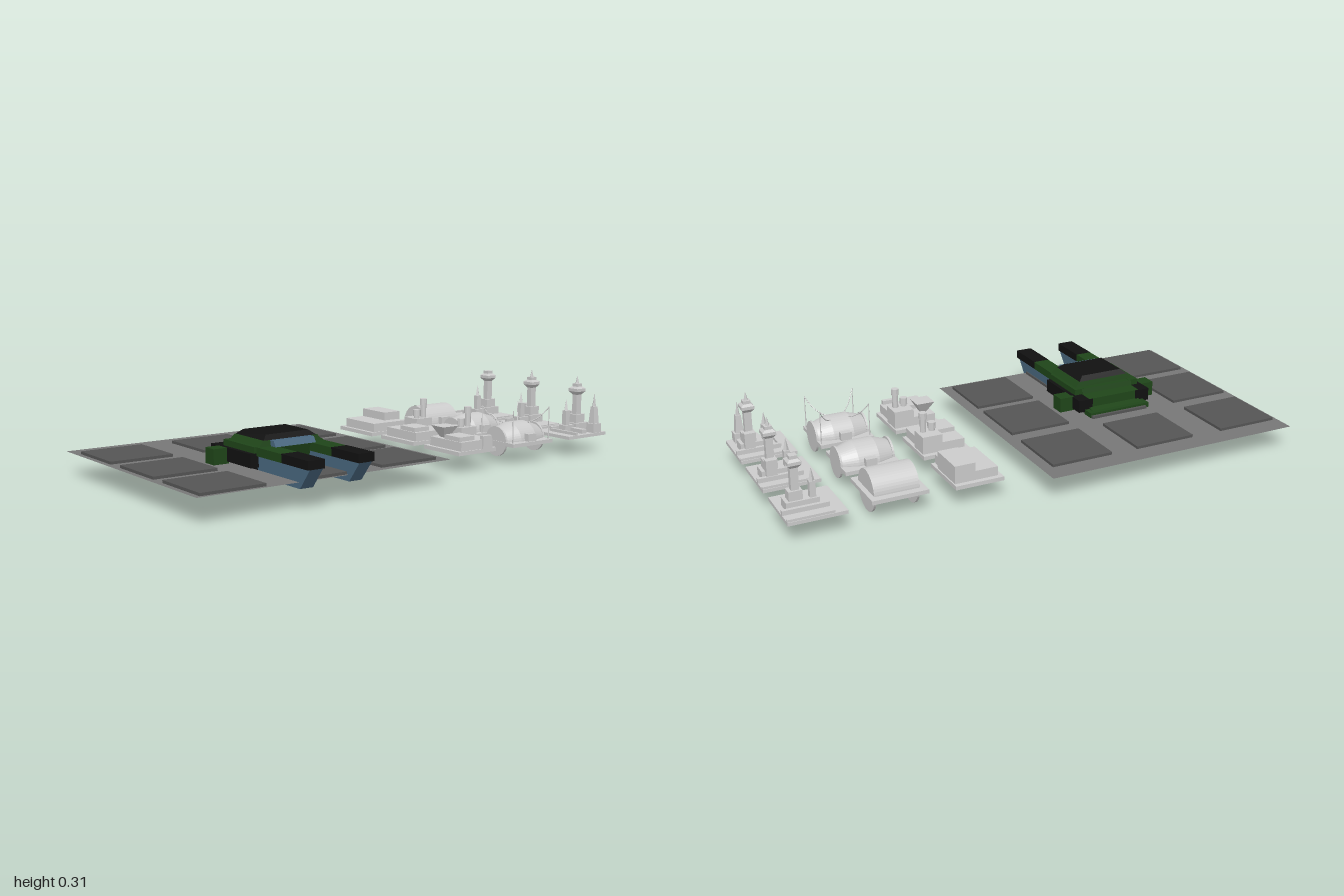
import * as THREE from 'three';

const mat = (color) => new THREE.MeshStandardMaterial({ color, flatShading: true, side: THREE.DoubleSide });
const GREY = mat(0xcccccc), GREEN = mat(0x1f4519), BLACK = mat(0x111111), BLUE = mat(0x48677f);
const SLAB = mat(0x777777), PAD = mat(0x555555);

function add(parent, name, geo, material, x = 0, y = 0, z = 0) {
  const m = new THREE.Mesh(geo, material);
  m.name = name;
  m.position.set(x, y, z);
  parent.add(m);
  return m;
}

// box from its limits on each axis
function box(parent, name, material, x0, x1, y0, y1, z0, z1) {
  return add(parent, name, new THREE.BoxGeometry(x1 - x0, y1 - y0, z1 - z0), material,
    (x0 + x1) / 2, (y0 + y1) / 2, (z0 + z1) / 2);
}

// side profile in x and y, extruded from z0 to z1
function slice(parent, name, material, points, z0, z1) {
  const shape = new THREE.Shape(points.map(([x, y]) => new THREE.Vector2(x, y)));
  return add(parent, name, new THREE.ExtrudeGeometry(shape, { depth: z1 - z0, bevelEnabled: false }), material, 0, 0, z0);
}

// block with a smaller top: half sizes at the bottom and top
function frustum(parent, name, material, x, z, y0, y1, bx, bz, tx, tz) {
  const geo = new THREE.BoxGeometry(2, y1 - y0, 2), p = geo.attributes.position;
  for (let i = 0; i < p.count; i++) {
    const top = p.getY(i) > 0;
    p.setX(i, p.getX(i) * (top ? tx : bx));
    p.setZ(i, p.getZ(i) * (top ? tz : bz));
  }
  geo.computeVertexNormals();
  return add(parent, name, geo, material, x, (y0 + y1) / 2, z);
}

function rod(parent, name, x, z, y0, y1, r0, r1 = r0, sides = 12) {
  return add(parent, name, new THREE.CylinderGeometry(r1, r0, y1 - y0, sides), GREY, x, (y0 + y1) / 2, z);
}

function group(parent, name) {
  const g = new THREE.Group();
  g.name = name;
  parent.add(g);
  return g;
}

// landing field with its raised pads
function buildField(root) {
  const g = group(root, 'landingField');
  const ground = add(g, 'fieldSheet', new THREE.PlaneGeometry(0.99, 1.055), SLAB, -0.035, 0.0925, 0.4725);
  ground.rotation.x = -Math.PI / 2;
  [[-0.01, 0.18], [0.35, 0.2], [0.73, 0.195]].forEach(([z, right]) => {
    for (const x of [-0.445, -0.12, right]) box(g, 'pad', PAD, x, x + 0.25, 0.09, 0.103, z, z + 0.25);
  });
}

// twin-pronged ship pointing along +x
function buildShip(root) {
  const g = group(root, 'ship');
  g.position.z = 0.482;
  slice(g, 'body', GREEN, [[-0.105, 0.085], [-0.105, 0.108], [-0.06, 0.118], [-0.06, 0.153], [-0.005, 0.155],
    [0.0, 0.175], [0.24, 0.175], [0.21, 0.09]], -0.115, 0.115);
  box(g, 'nose', GREEN, -0.108, -0.06, 0.082, 0.112, -0.135, 0.135);
  box(g, 'belly', BLACK, -0.06, 0.2, 0.093, 0.104, -0.13, 0.13);
  frustum(g, 'cabin', GREEN, 0.12, 0, 0.174, 0.196, 0.1, 0.135, 0.095, 0.115);
  frustum(g, 'cabinRoof', BLACK, 0.12, 0, 0.195, 0.213, 0.095, 0.112, 0.075, 0.09);
  slice(g, 'windscreen', BLUE, [[0.2, 0.175], [0.25, 0.175], [0.238, 0.196], [0.2, 0.196]], -0.085, 0.085);
  slice(g, 'keel', GREY, [[0.03, 0.09], [0.03, 0.075], [0.33, 0.075], [0.45, 0.09]], -0.07, -0.06);
  for (const s of [-1, 1]) {
    const span = (a, b) => (s > 0 ? [a, b] : [-b, -a]);
    box(g, 'sideArmour', BLACK, -0.062, 0.207, 0.103, 0.153, ...span(0.1, 0.162));
    box(g, 'sideTrim', GREEN, 0.0, 0.207, 0.152, 0.176, ...span(0.105, 0.146));
    box(g, 'sidePod', GREEN, -0.008, 0.05, 0.095, 0.153, ...span(0.155, 0.217));
    box(g, 'prongBase', GREEN, 0.02, 0.365, 0.144, 0.175, ...span(0.07, 0.137));
    box(g, 'prongTip', BLACK, 0.365, 0.525, 0.144, 0.176, ...span(0.07, 0.137));
    slice(g, 'prongKeel', BLUE, [[0.03, 0.144], [0.03, 0.042], [0.33, 0.07], [0.463, 0.07], [0.523, 0.144]], ...span(0.075, 0.128));
  }
}

// factory blocks; level 0 to 2 adds chimneys, then a hopper
function buildFactory(root, level, x0, x1) {
  const g = group(root, 'factory');
  box(g, 'basePlate', GREY, x0, x1, 0.07, 0.085, -0.385, -0.195);
  box(g, 'lowHall', GREY, x0 + 0.02, x1 - 0.005, 0.085, 0.12, -0.37, -0.21);
  const split = x0 + (level ? 0.1 : 0.17);
  box(g, 'tallHall', GREY, x0 + 0.02, split, 0.085, 0.153, -0.38, -0.3);
  if (!level) return;
  box(g, 'sideHall', GREY, split, x1 - 0.02, 0.085, 0.137, -0.29, -0.215);
  [[-0.355, 0.23], [-0.32, 0.187]].forEach(([z, top]) => {
    rod(g, 'chimney', x0 + 0.075, z, 0.12, top, 0.012);
    rod(g, 'chimneyRim', x0 + 0.075, z, top - 0.025, top, 0.015);
  });
  if (level < 2) return;
  frustum(g, 'hopper', GREY, x0 + 0.065, -0.245, 0.12, 0.165, 0.012, 0.012, 0.037, 0.037);
  box(g, 'sideTank', GREY, x1 - 0.015, x1 + 0.003, 0.085, 0.135, -0.36, -0.315);
}

// arched halls; level 1 and 2 bulge, level 2 carries wires
function buildHall(root, level, x0, x1) {
  const g = group(root, 'archedHall');
  const x = (x0 + x1) / 2, z = -0.587, y = 0.08;
  box(g, 'basePlate', GREY, x0, x1, 0.07, 0.085, -0.692, -0.478);
  const half = level ? 0.102 : 0.082, r = level ? 0.06 : 0.079;
  const profile = level ? [[0.058, -half], [0.08, -0.04], [0.08, 0.04], [0.058, half]] : [[r, -half], [r, half]];
  const shell = new THREE.LatheGeometry(profile.map(([a, b]) => new THREE.Vector2(a, b)), 24, -Math.PI / 2, Math.PI);
  shell.rotateX(Math.PI / 2);
  // keep the upper half of the arch
  shell.computeBoundingBox();
  if (shell.boundingBox.max.y < 0.01) shell.rotateZ(Math.PI);
  const roof = add(g, 'archedRoof', shell, GREY, x, y, z);
  if (level) roof.scale.y = 0.92;
  for (const s of [-1, 1]) {
    const disc = add(g, 'endDisc', new THREE.CylinderGeometry(r, r, 0.008, 28), GREY, x, level ? 0.083 : 0.079, z + s * half);
    disc.rotation.x = Math.PI / 2;
    if (level || s > 0) {
      const px = x + s * 0.088;
      box(g, 'sidePorch', GREY, px - 0.012, px + 0.012, 0.085, 0.115, z - 0.022, z + 0.022);
    }
  }
  if (level < 2) return;
  for (const sx of [-1, 1]) for (const sz of [-1, 1]) {
    rod(g, 'mast', x + sx * 0.09, z + sz * 0.098, 0.085, 0.215, 0.0025, 0.0015, 6);
    const wire = new THREE.QuadraticBezierCurve3(
      new THREE.Vector3(x + sx * 0.09, 0.213, z + sz * 0.098),
      new THREE.Vector3(x + sx * 0.06, 0.155, z + sz * 0.07),
      new THREE.Vector3(x + sx * 0.025, 0.148, z + sz * 0.035));
    add(g, 'wire', new THREE.TubeGeometry(wire, 10, 0.002, 5), GREY);
  }
}

// control towers; level 1 adds a spire, level 2 adds a second tower
function buildTower(root, level, x0, x1) {
  const g = group(root, 'controlTower');
  const x = x0 + 0.107, z = -0.938;
  box(g, 'basePlate', GREY, x0, x1, 0.07, 0.083, -1, -0.785);
  box(g, 'edgeWall', GREY, x0 + 0.003, x0 + 0.012, 0.083, 0.092, -1, -0.83);
  box(g, 'longWall', GREY, x0 + 0.058, x0 + 0.072, 0.083, 0.1, -1, -0.83);
  box(g, 'footBlock', GREY, x - 0.028, x + 0.03, 0.083, 0.115, -0.978, -0.905);
  box(g, 'footStep', GREY, x - 0.02, x + 0.02, 0.115, 0.15, -0.965, -0.915);
  box(g, 'shaft', GREY, x - 0.012, x + 0.012, 0.115, 0.235, z - 0.014, z + 0.014);
  frustum(g, 'headLower', GREY, x, z, 0.232, 0.246, 0.012, 0.014, 0.025, 0.024);
  box(g, 'headBand', GREY, x - 0.025, x + 0.025, 0.246, 0.258, z - 0.024, z + 0.024);
  frustum(g, 'headUpper', GREY, x, z, 0.258, 0.266, 0.025, 0.024, 0.015, 0.015);
  box(g, 'headCap', GREY, x - 0.014, x + 0.014, 0.264, 0.278, z - 0.014, z + 0.014);
  // small tower in front
  box(g, 'annex', GREY, x - 0.018, x + 0.018, 0.083, 0.11, -0.91, -0.855);
  box(g, 'annexTower', GREY, x - 0.011, x + 0.011, 0.11, 0.17, -0.887, -0.865);
  rod(g, 'annexSpire', x, -0.876, 0.17, 0.215, 0.011, 0.001, 4);
  if (level) rod(g, 'spire', x, z, 0.278, 0.308, 0.008, 0.001, 6);
  if (level) box(g, 'sideBlock', GREY, x - 0.045, x - 0.02, 0.083, 0.16, -0.965, -0.925);
  if (level < 2) return;
  box(g, 'farBlock', GREY, x + 0.065, x + 0.105, 0.083, 0.12, -0.975, -0.93);
  frustum(g, 'farTower', GREY, x + 0.085, -0.952, 0.12, 0.19, 0.015, 0.015, 0.01, 0.01);
  rod(g, 'farSpire', x + 0.085, -0.952, 0.19, 0.24, 0.008, 0.001, 6);
  box(g, 'pipe', GREY, x + 0.025, x + 0.09, 0.083, 0.1, -0.905, -0.88);
  box(g, 'frontWall', GREY, x - 0.035, x1, 0.083, 0.095, -0.835, -0.825);
}

export function createModel() {
  const root = new THREE.Group();
  root.name = 'outpost';
  buildField(root);
  buildShip(root);
  [[-0.42, -0.2], [-0.137, 0.073], [0.137, 0.345]].forEach(([a, b], i) => buildFactory(root, i, a, b));
  [[-0.397, -0.182], [-0.135, 0.08], [0.132, 0.345]].forEach(([a, b], i) => buildHall(root, i, a, b));
  [[-0.417, -0.2], [-0.137, 0.08], [0.132, 0.347]].forEach(([a, b], i) => buildTower(root, i, a, b));
  return root;
}
